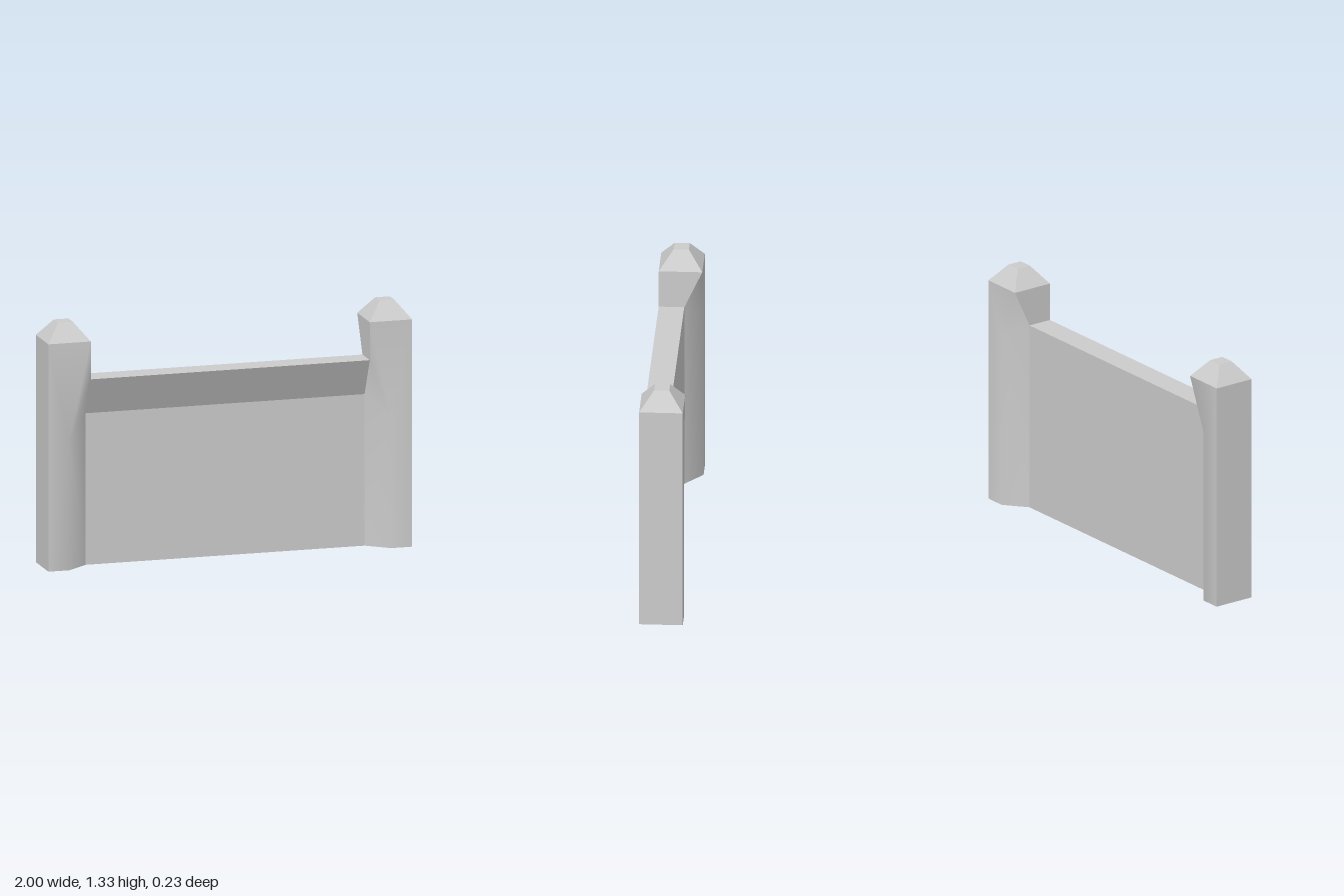
import * as THREE from 'three';

const INNER = 0.767, CHAMFER = 0.884, HALF = 0.115, WEB = 0.02;
const POST_H = 1.23, TOP_H = 1.325, RAIL_TOP = 1.025, RAIL_BOTTOM = 0.82;

const material = new THREE.MeshStandardMaterial({ color: 0xcccccc });

// Triangle fan around the first point; side = -1 mirrors it across x
function fan(name, points, side) {
  const geometry = new THREE.BufferGeometry();
  const positions = points.flatMap(([x, y, z]) => [x * side, y, z]);
  const index = [];
  for (let i = 1; i < points.length - 1; i++) {
    index.push(...(side > 0 ? [0, i, i + 1] : [0, i + 1, i]));
  }
  geometry.setAttribute('position', new THREE.Float32BufferAttribute(positions, 3));
  geometry.setIndex(index);
  geometry.computeVertexNormals();
  const mesh = new THREE.Mesh(geometry, material);
  mesh.name = name;
  return mesh;
}

function makePost(name, side) {
  const post = new THREE.Group();
  post.name = name;

  // Corners of the front half
  const A = [1, 0, HALF], B = [1, POST_H, HALF], C = [INNER, POST_H, HALF];
  const D = [INNER, RAIL_TOP, HALF], E = [INNER, RAIL_BOTTOM, WEB];
  const F = [INNER, 0, WEB], G = [CHAMFER, 0, HALF], H = [CHAMFER, 0.7, HALF];
  // Corners of the back half
  const back = ([x, y, z]) => [x, y, -z];
  const a = back(A), b = back(B), c = back(C), f = back(F), g = back(G);
  const e = [INNER, RAIL_TOP, -WEB], h = [CHAMFER, 0.95, -HALF];

  // Front and back blend smoothly into the inner chamfers
  post.add(
    fan('postFront', [H, A, B, C, D, E, F, G, A], side),
    fan('postBack', [h, a, g, f, e, c, b, a], side),
    fan('postOuterSide', [A, a, b, B], side),
    fan('postInnerSide', [c, e, D, C], side),
    fan('postBase', [A, G, F, f, g, a], side)
  );

  // Truncated pyramid cap
  const capGeometry = new THREE.CylinderGeometry(
    0.04 * Math.SQRT2, HALF * Math.SQRT2, TOP_H - POST_H, 4
  ).rotateY(Math.PI / 4).scale((1 - INNER) / 2 / HALF, 1, 1).toNonIndexed();
  capGeometry.computeVertexNormals();
  const cap = new THREE.Mesh(capGeometry, material);
  cap.name = 'postCap';
  cap.position.set(side * (1 + INNER) / 2, (POST_H + TOP_H) / 2, 0);
  post.add(cap);
  return post;
}

// Thin wall with a rail overhanging the front along its top
function makePanel() {
  const profile = new THREE.Shape([
    [-WEB, 0], [WEB, 0], [WEB, RAIL_BOTTOM], [HALF, RAIL_TOP], [-WEB, RAIL_TOP],
  ].map(([z, y]) => new THREE.Vector2(z, y)));
  const geometry = new THREE.ExtrudeGeometry(profile, { depth: 2 * INNER, bevelEnabled: false });
  geometry.translate(0, 0, -INNER).rotateY(-Math.PI / 2);
  const panel = new THREE.Mesh(geometry, material);
  panel.name = 'wallPanel';
  return panel;
}

export function createModel() {
  const model = new THREE.Group();
  model.name = 'wallSection';
  model.add(makePanel(), makePost('leftPost', 1), makePost('rightPost', -1));
  return model;
}
